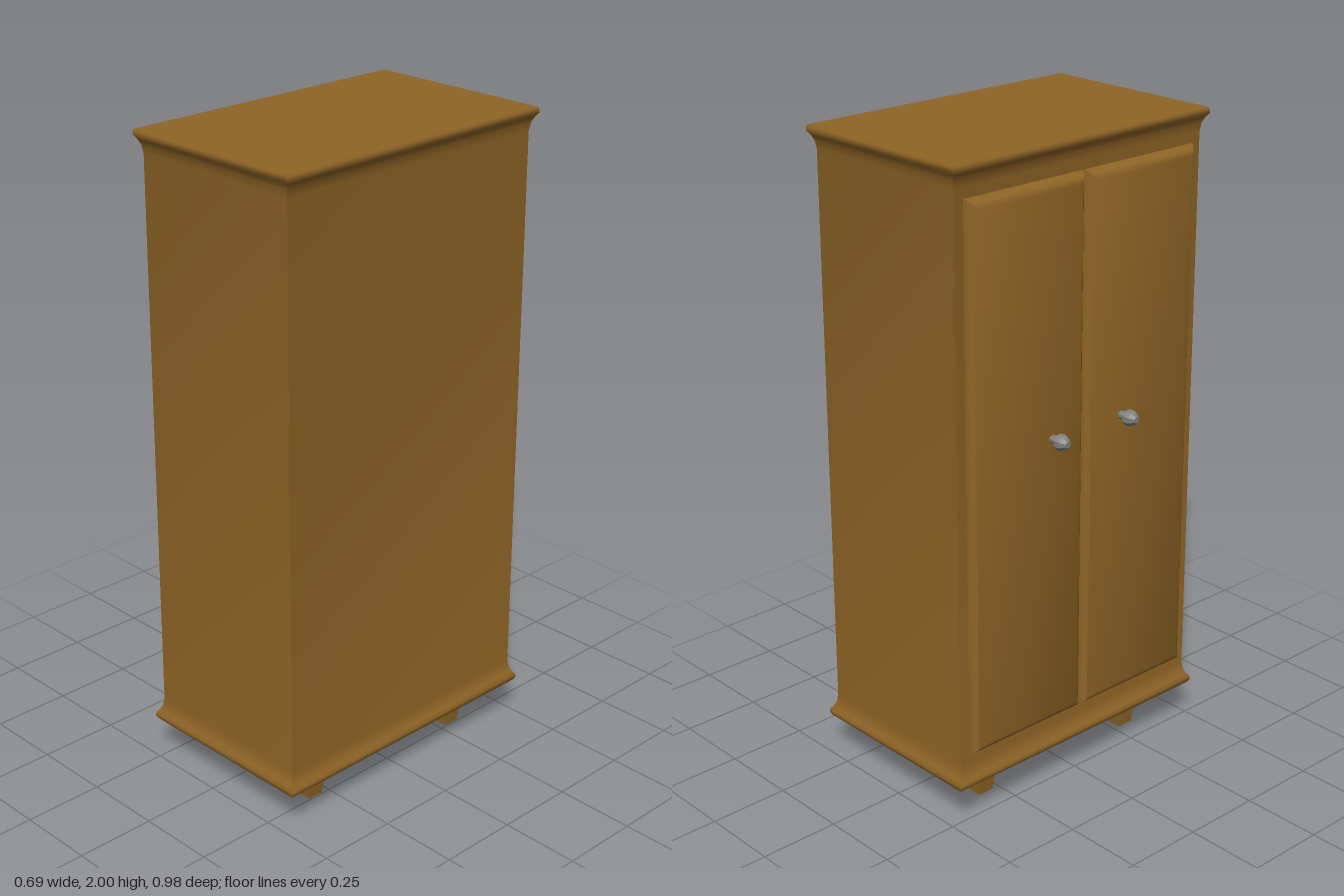
import * as THREE from 'three';
import { toCreasedNormals } from 'three/addons/utils/BufferGeometryUtils.js';

// Closed solid from stacked rectangles, each [y, halfX, halfZ]
function loft(sections) {
  const positions = [];
  const index = [];
  for (const [y, a, b] of sections) positions.push(-a, y, -b, -a, y, b, a, y, b, a, y, -b);
  const last = (sections.length - 1) * 4;
  for (let i = 0; i < last; i += 4) {
    for (let j = 0; j < 4; j++) {
      const k = (j + 1) % 4;
      index.push(i + j, i + k, i + 4 + k, i + j, i + 4 + k, i + 4 + j);
    }
  }
  index.push(0, 2, 1, 0, 3, 2, last, last + 1, last + 2, last, last + 2, last + 3);
  const geometry = new THREE.BufferGeometry();
  geometry.setAttribute('position', new THREE.Float32BufferAttribute(positions, 3));
  geometry.setIndex(index);
  return toCreasedNormals(geometry, 0.7);
}

export function createModel() {
  const wood = new THREE.MeshStandardMaterial({ color: 0x8f6526 });
  wood.name = 'wood';
  const metal = new THREE.MeshStandardMaterial({ color: 0x808080 });
  metal.name = 'metal';

  const model = new THREE.Group();
  model.name = 'wardrobe';
  const add = (name, geometry, material, x, y, z) => {
    const mesh = new THREE.Mesh(geometry, material);
    mesh.name = name;
    mesh.position.set(x, y, z);
    model.add(mesh);
    return mesh;
  };

  // Cabinet with flared base and cornice: [y, outward offset from the walls]
  const centreX = 0.035;
  const profile = [
    [0.123, 0.015], [0.132, 0.02], [0.142, 0.02], [0.155, 0.011], [0.17, 0.004], [0.195, 0],
    [1.93, 0], [1.955, 0.004], [1.97, 0.011], [1.983, 0.02], [1.994, 0.02], [2.0, 0.016],
  ];
  add('cabinet', loft(profile.map(([y, o]) => [y, 0.29 + o, 0.47 + o])), wood, centreX, 0, 0);

  // Tapered square legs
  const legGeometry = loft([[0, 0.027, 0.027], [0.13, 0.039, 0.039]]);
  for (const sx of [-1, 1]) {
    for (const sz of [-1, 1]) add('leg', legGeometry, wood, centreX + sx * 0.182, 0, sz * 0.3);
  }

  // Doors with rounded edges, lofted outward along -x
  const doorGeometry = loft([
    [-0.005, 0.837, 0.217], [0.006, 0.837, 0.217], [0.018, 0.828, 0.208],
    [0.025, 0.82, 0.2], [0.03, 0.808, 0.188],
  ]);
  doorGeometry.rotateZ(Math.PI / 2);

  // Turned knobs, also along -x
  const knobProfile = [
    [0, -0.005], [0.012, -0.005], [0.012, 0.028], [0.024, 0.028],
    [0.024, 0.046], [0.02, 0.054], [0.01, 0.065], [0, 0.065],
  ].map(([r, h]) => new THREE.Vector2(r, h));
  const knobGeometry = toCreasedNormals(new THREE.LatheGeometry(knobProfile, 8), 0.5);
  knobGeometry.rotateY(Math.PI / 8).rotateZ(Math.PI / 2);

  for (const side of [-1, 1]) {
    add('door', doorGeometry, wood, -0.255, 1.062, side * 0.22);
    add('knob', knobGeometry, metal, -0.285, 1.148, side * 0.138);
  }
  return model;
}
